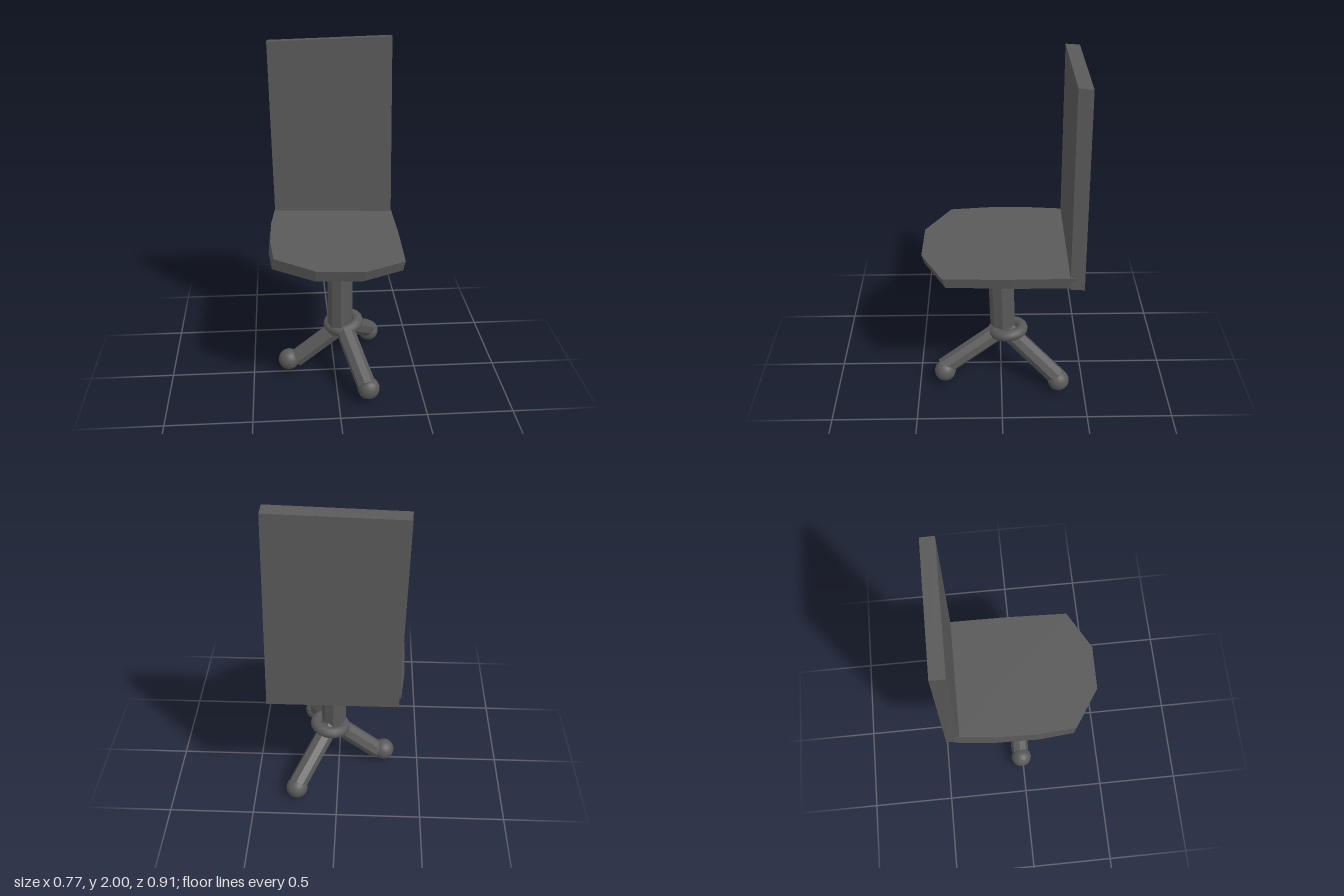
import * as THREE from 'three';

const flat = new THREE.MeshStandardMaterial({ color: 0x595959, flatShading: true });
const smooth = new THREE.MeshStandardMaterial({ color: 0x595959 });

// Solid between two matching rings, each counterclockwise seen from above
function loft(bottom, top) {
  const n = top.length;
  const index = [];
  for (let i = 0; i < n; i++) {
    const j = (i + 1) % n;
    index.push(i, j, n + j, i, n + j, n + i);
    if (i > 0 && i < n - 1) index.push(n, n + i, n + i + 1, 0, i + 1, i);
  }
  const indexed = new THREE.BufferGeometry();
  indexed.setAttribute('position', new THREE.Float32BufferAttribute([...bottom, ...top].flat(), 3));
  indexed.setIndex(index);
  const geometry = indexed.toNonIndexed();
  geometry.computeVertexNormals();
  return geometry;
}

// Eight-sided bar between two points
function bar(from, to, radius) {
  const a = new THREE.Vector3(...from);
  const b = new THREE.Vector3(...to);
  const mesh = new THREE.Mesh(new THREE.CylinderGeometry(radius, radius, a.distanceTo(b), 8), flat);
  mesh.position.copy(a).add(b).multiplyScalar(0.5);
  mesh.quaternion.setFromUnitVectors(new THREE.Vector3(0, 1, 0), b.sub(a).normalize());
  return mesh;
}

// Horizontal ring with optional lean
function ring(radius, tube, position, tiltX = 0, tiltZ = 0) {
  const geometry = new THREE.TorusGeometry(radius, tube, 12, 20).rotateX(Math.PI / 2);
  const mesh = new THREE.Mesh(geometry, smooth);
  mesh.position.set(...position);
  mesh.rotation.set(tiltX, 0, tiltZ);
  return mesh;
}

export function createModel() {
  const model = new THREE.Group();
  const add = (name, object, parent = model) => {
    object.name = name;
    parent.add(object);
    return object;
  };

  // Seat: faceted slab leaning slightly to one side, front edges cut back underneath
  const outline = [
    [-0.343, -0.41], [-0.368, -0.18], [-0.374, 0.08], [-0.356, 0.3], [-0.13, 0.449],
    [0.135, 0.455], [0.369, 0.328], [0.381, -0.05], [0.382, -0.4],
  ];
  const seatTop = outline.map(([x, z]) => [x, 0.919 - 0.034 * x - 0.008 * z, z]);
  const seatBottom = outline.map(([x, z]) => [x - 0.011, 0.849 - 0.026 * x + 0.006 * z, z > 0.2 ? z - 0.016 : z]);
  add('seat', new THREE.Mesh(loft(seatBottom, seatTop), flat));

  // Backrest: tall, slightly skewed panel
  const backBottom = [[-0.342, 0.832, -0.456], [-0.342, 0.835, -0.375], [0.379, 0.835, -0.375], [0.382, 0.832, -0.455]];
  const backTop = [[-0.362, 1.972, -0.445], [-0.365, 1.977, -0.365], [0.357, 2.0, -0.365], [0.36, 1.992, -0.443]];
  add('backrest', new THREE.Mesh(loft(backBottom, backTop), flat));

  // Central post with collars
  add('post', bar([0.033, 0.27, -0.012], [0.033, 0.86, 0.005], 0.075));
  add('seatCollar', ring(0.1, 0.037, [0.033, 0.837, 0.004]));
  add('legCollar', ring(0.088, 0.035, [0.055, 0.317, -0.042], 0.09, 0.15));

  // Three splayed legs ending in ball feet
  const legs = [
    { name: 'frontLeg', hub: [0.05, 0.32, -0.01], end: [0.165, 0.11, 0.355], foot: [0.175, 0.093, 0.345] },
    { name: 'rightLeg', hub: [0.04, 0.31, -0.015], end: [-0.24, 0.085, -0.015], foot: [-0.283, 0.085, -0.01] },
    { name: 'backLeg', hub: [0.05, 0.31, -0.03], end: [0.242, 0.09, -0.338], foot: [0.246, 0.068, -0.346] },
  ];
  for (const { name, hub, end, foot } of legs) {
    const leg = add(name, new THREE.Group());
    add('legBar', bar(hub, end, 0.056), leg);
    const ball = add('footBall', new THREE.Mesh(new THREE.SphereGeometry(0.065, 16, 12), smooth), leg);
    ball.position.set(...foot);
  }
  return model;
}
